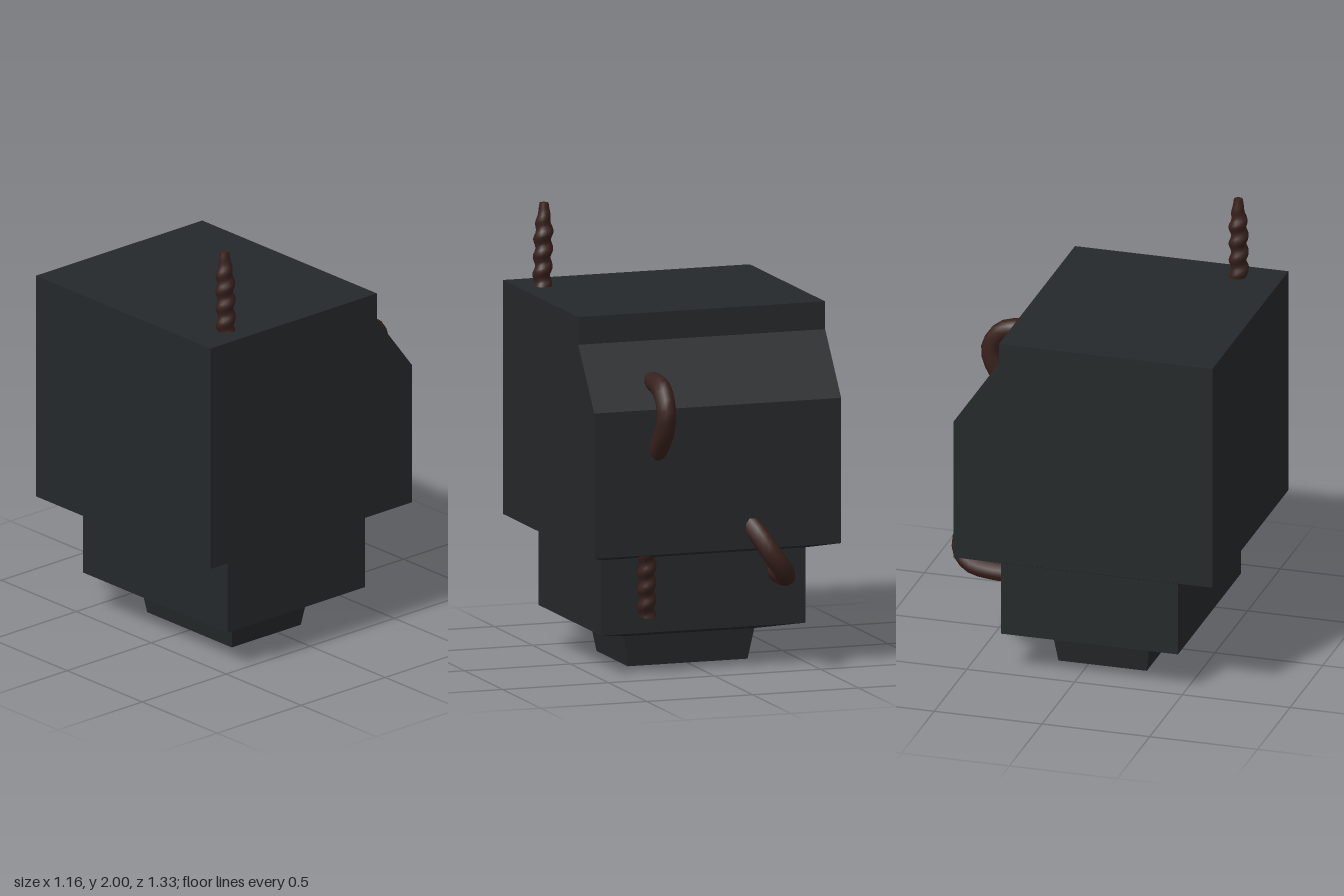
import * as THREE from 'three';

const concrete = new THREE.MeshStandardMaterial({ color: 0x25282a, flatShading: true });
const rust = new THREE.MeshStandardMaterial({ color: 0x38211c });

// Stacks rectangular rings [y, x0, x1, z0, z1] into a solid with optional end caps.
function rectLoft(name, rings, capBottom, capTop) {
  const pos = [], idx = [];
  for (const [y, x0, x1, z0, z1] of rings) pos.push(x0, y, z1, x1, y, z1, x1, y, z0, x0, y, z0);
  for (let r = 0; r < rings.length - 1; r++) {
    for (let i = 0; i < 4; i++) {
      const a = r * 4 + i, b = r * 4 + (i + 1) % 4;
      idx.push(a, b, b + 4, a, b + 4, a + 4);
    }
  }
  const t = (rings.length - 1) * 4;
  if (capBottom) idx.push(0, 2, 1, 0, 3, 2);
  if (capTop) idx.push(t, t + 1, t + 2, t, t + 2, t + 3);
  const indexed = new THREE.BufferGeometry();
  indexed.setAttribute('position', new THREE.Float32BufferAttribute(pos, 3));
  indexed.setIndex(idx);
  const geo = indexed.toNonIndexed();
  geo.computeVertexNormals();
  const mesh = new THREE.Mesh(geo, concrete);
  mesh.name = name;
  return mesh;
}

// Straight bar from a to b with one spiral rib; the last part narrows to tipScale.
function ribbedBar(name, a, b, radius, tipLength, tipScale) {
  const start = new THREE.Vector3(...a), dir = new THREE.Vector3(...b).sub(start);
  const length = dir.length(), pitch = 0.08;
  const geo = new THREE.CylinderGeometry(1, 1, length, 12, Math.ceil(length / 0.014));
  geo.translate(0, length / 2, 0);
  const p = geo.attributes.position;
  for (let i = 0; i < p.count; i++) {
    const x = p.getX(i), y = p.getY(i), z = p.getZ(i);
    const rib = 0.006 * Math.cos(Math.atan2(x, z) - (y / pitch) * Math.PI * 2);
    const k = tipLength ? Math.max(0, (y - length + tipLength) / tipLength) : 0;
    const r = (radius + rib * (1 - k)) * (1 - k * (1 - tipScale));
    p.setXYZ(i, x * r, y, z * r);
  }
  geo.computeVertexNormals();
  const mesh = new THREE.Mesh(geo, rust);
  mesh.name = name;
  mesh.position.copy(start);
  mesh.quaternion.setFromUnitVectors(new THREE.Vector3(0, 1, 0), dir.normalize());
  return mesh;
}

// Smooth bent bar whose two ends are buried in the block.
function bentBar(name, points) {
  const curve = new THREE.CatmullRomCurve3(points.map((q) => new THREE.Vector3(...q)));
  const mesh = new THREE.Mesh(new THREE.TubeGeometry(curve, 16, 0.045, 10), rust);
  mesh.name = name;
  return mesh;
}

export function createModel() {
  const group = new THREE.Group();
  group.name = 'steppedConcreteBlock';

  // Stepped block: narrow foot, middle step, large body with a sloped back
  const middleLow = [0.185, -0.485, 0.48, -0.345, 0.475];
  const middleTop = [0.525, -0.485, 0.48, -0.345, 0.475];
  group.add(
    rectLoft('foot', [
      [0, -0.285, 0.28, -0.14, 0.27],
      [0.14, -0.31, 0.305, -0.16, 0.29],
      middleLow,
    ], true, false),
    rectLoft('middleStep', [middleLow, middleTop], false, false),
    rectLoft('body', [
      middleTop,
      [0.57, -0.585, 0.58, -0.535, 0.665],
      [1.225, -0.585, 0.58, -0.535, 0.665],
      [1.5, -0.585, 0.58, -0.325, 0.665],
      [1.625, -0.585, 0.58, -0.325, 0.665],
    ], false, true),
  );

  // Ribbed reinforcing bars sticking out of the top and the underside
  group.add(
    ribbedBar('topBar', [0.468, 1.5, 0.47], [0.455, 2, 0.47], 0.04, 0.12, 0.5),
    ribbedBar('undersideBar', [0.3, 0.64, -0.45], [0.28, 0.27, -0.385], 0.038, 0, 1),
  );

  // Bent bars on the back
  group.add(
    bentBar('upperHook', [
      [0.27, 1.32, -0.36], [0.27, 1.335, -0.48], [0.27, 1.31, -0.57],
      [0.27, 1.23, -0.62], [0.27, 1.14, -0.6], [0.275, 1.05, -0.53], [0.28, 0.98, -0.45],
    ]),
    bentBar('lowerHook', [
      [-0.16, 0.69, -0.49], [-0.2, 0.62, -0.56], [-0.24, 0.55, -0.592],
      [-0.29, 0.48, -0.585], [-0.325, 0.438, -0.53], [-0.345, 0.425, -0.43], [-0.35, 0.425, -0.3],
    ]),
  );
  return group;
}
